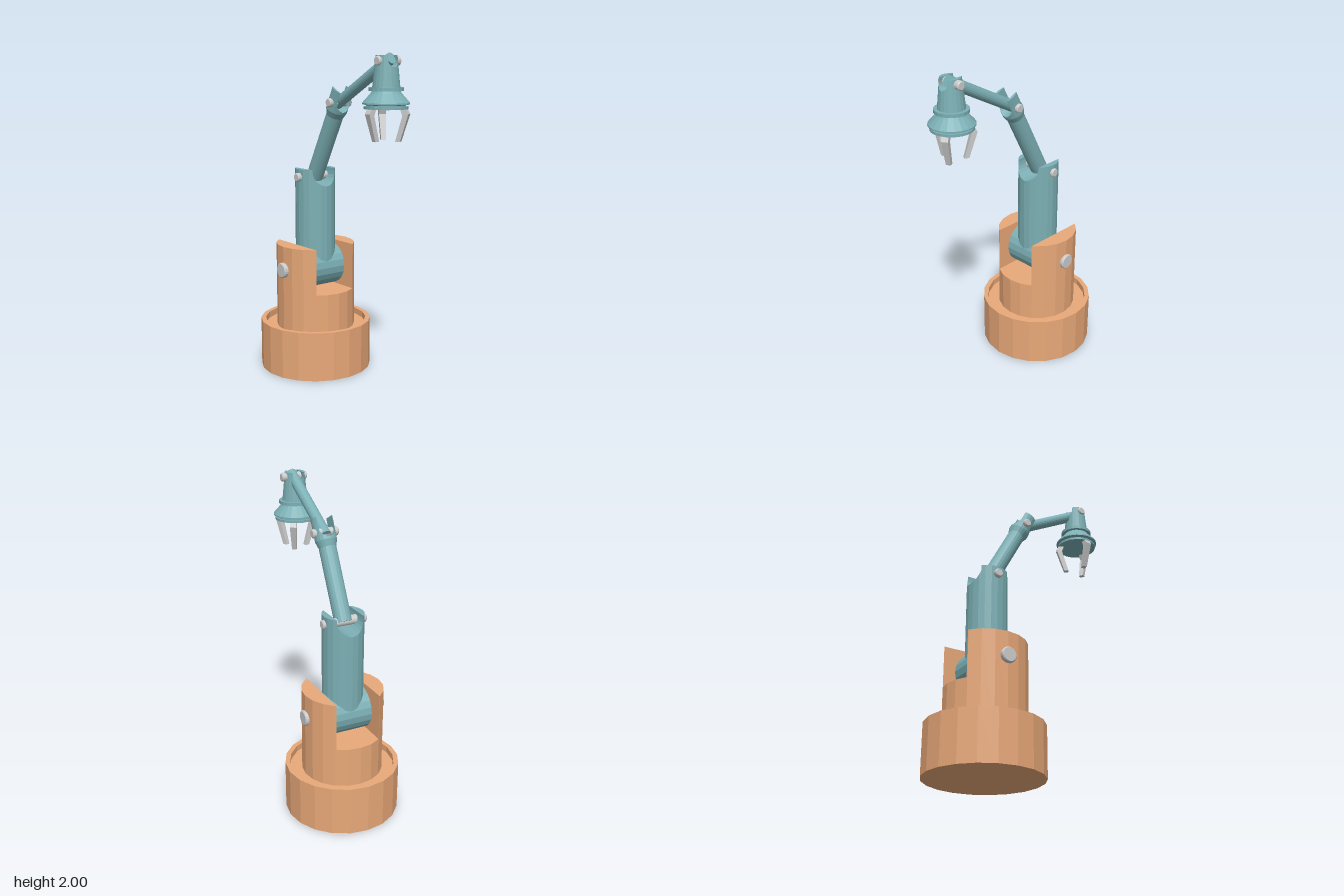
import * as THREE from 'three';

const paint = (color) => new THREE.MeshStandardMaterial({ color, flatShading: true });
const AXIS_Z = -0.235; // centre line of base and column
const SIDES = 20;

// Upright faceted column whose top is cut by a channel running along z.
// cut: [x, y] points of the channel, left to right; taper: scale at the top.
function notchedColumn(r, y0, y1, cut, taper = 1) {
  const half = SIDES / 2;
  const ring = Array.from({ length: half + 1 }, (_, k) => {
    const a = (k / half) * Math.PI;
    return [-r * Math.cos(a), r * Math.sin(a)];
  });
  const lerp = (list, x) => {
    for (let i = 1; i < list.length; i++) {
      const [a, b] = [list[i - 1], list[i]];
      if (x <= b[0]) return a[1] + ((b[1] - a[1]) * (x - a[0])) / (b[0] - a[0]);
    }
    return 0;
  };
  const line = [[-r, y1], [cut[0][0], y1], ...cut, [cut[cut.length - 1][0], y1], [r, y1]];
  const stations = [line[0]];
  for (let i = 1; i < line.length; i++) {
    const [a, b] = [line[i - 1], line[i]];
    for (const [x] of ring) {
      if (x > a[0] + 1e-5 && x < b[0] - 1e-5) stations.push([x, lerp([a, b], x)]);
    }
    stations.push(b);
  }
  const sections = stations.map(([x, h]) => {
    const w = Math.max(0, lerp(ring, x));
    return [[x, y0, w], [x, y0, -w], [x, h, -w], [x, h, w]].map(([px, py, pz]) => {
      const s = 1 + ((taper - 1) * (py - y0)) / (y1 - y0);
      return [px * s, py, pz * s];
    });
  });
  const pos = [];
  for (let i = 1; i < sections.length; i++) {
    for (let j = 0; j < 4; j++) {
      const k = (j + 1) % 4;
      const [a, b, c, d] = [sections[i - 1][j], sections[i - 1][k], sections[i][k], sections[i][j]];
      pos.push(...a, ...b, ...c, ...a, ...c, ...d);
    }
  }
  const geo = new THREE.BufferGeometry();
  geo.setAttribute('position', new THREE.Float32BufferAttribute(pos, 3));
  geo.computeVertexNormals();
  return geo;
}

// Half-round channel profile
const roundCut = (c, yc) => Array.from({ length: 13 }, (_, i) => {
  const a = Math.PI * (1 + i / 12);
  return [c * Math.cos(a), yc + c * Math.sin(a)];
});

const lathe = (pts) => new THREE.LatheGeometry(pts.map(([x, y]) => new THREE.Vector2(x, y)), SIDES);

export function createModel() {
  const model = new THREE.Group();
  model.name = 'roboticArm';
  const orange = paint(0xe8a878);
  const teal = paint(0x7cb0b5);
  const grey = paint(0xcccccc);

  const add = (name, geo, mat, parent = model, x = 0, y = 0, z = 0) => {
    const mesh = new THREE.Mesh(geo, mat);
    mesh.name = name;
    mesh.position.set(x, y, z);
    parent.add(mesh);
    return mesh;
  };

  // Hinge pin along x with chamfered ends
  const pin = (name, r, x0, x1, y, z) => {
    const h = (x1 - x0) / 2, e = 0.006;
    const geo = lathe([[0, -h], [r - e, -h], [r, e - h], [r, h - e], [r - e, h], [0, h]]);
    add(name, geo, grey, model, (x0 + x1) / 2, y, z).rotation.z = Math.PI / 2;
  };

  // Base drum with a raised rim
  add('base', lathe([[0, 0], [0.355, 0], [0.355, 0.31], [0.325, 0.31], [0.325, 0.27], [0, 0.27]]),
    orange, model, 0, 0, AXIS_Z);

  // Turret with a square slot
  add('turret', notchedColumn(0.25, 0.26, 0.81, [[-0.143, 0.52], [0.143, 0.52]]),
    orange, model, 0, 0, AXIS_Z);
  pin('shoulderPin', 0.048, -0.27, 0.265, 0.66, AXIS_Z);

  // Lower arm: barrel and forked column
  const barrel = new THREE.CylinderGeometry(0.133, 0.133, 0.266, SIDES);
  add('shoulderBarrel', barrel, teal, model, 0, 0.66, AXIS_Z).rotation.z = Math.PI / 2;
  add('lowerArm', notchedColumn(0.126, 0.66, 1.29, roundCut(0.085, 1.27)), teal, model, 0, 0, AXIS_Z);
  pin('lowerElbowPin', 0.028, -0.147, 0.14, 1.24, AXIS_Z);

  // Tilted limb: a group whose y axis runs from one joint to the next
  const limb = (name, y0, z0, y1, z1) => {
    const group = new THREE.Group();
    group.name = name;
    group.position.set(0, y0, z0);
    group.rotation.x = Math.atan2(z1 - z0, y1 - y0);
    model.add(group);
    return [group, Math.hypot(y1 - y0, z1 - z0)];
  };

  // Middle arm with a flared fork
  const [middle, midLen] = limb('middleArm', 1.24, AXIS_Z, 1.71, 0.013);
  add('middleArmShaft', lathe([[0, -0.005], [0.053, -0.005], [0.053, midLen - 0.09],
    [0.066, midLen - 0.05], [0, midLen - 0.05]]), teal, middle);
  add('middleArmFork', notchedColumn(0.066, -0.05, 0.087, roundCut(0.05, 0.015)),
    teal, middle, 0, midLen, 0);
  pin('upperElbowPin', 0.027, -0.085, 0.082, 1.71, 0.013);

  // Upper arm
  const [upper, upLen] = limb('upperArm', 1.71, 0.013, 1.955, 0.455);
  add('upperArmShaft', new THREE.CylinderGeometry(0.034, 0.034, upLen + 0.055, SIDES),
    teal, upper, 0, upLen / 2 + 0.0025, 0);
  pin('wristPin', 0.027, -0.085, 0.08, 1.955, 0.455);

  // Gripper head
  const gripper = new THREE.Group();
  gripper.name = 'gripper';
  gripper.position.set(-0.01, 0, 0.453);
  model.add(gripper);
  add('wrist', notchedColumn(0.08, 1.8, 1.985, roundCut(0.045, 1.965), 0.76), teal, gripper);
  add('gripperHead', lathe([[0, 1.69], [0.125, 1.69], [0.125, 1.705], [0.112, 1.705], [0.112, 1.712],
    [0.135, 1.717], [0.135, 1.725], [0.09, 1.775], [0.08, 1.79], [0.1, 1.79], [0.1, 1.81],
    [0, 1.81]]), teal, gripper);

  // Three bent fingers
  const outline = [[0.085, 1.7], [0.102, 1.655], [0.06, 1.51], [0.088, 1.51], [0.137, 1.665], [0.118, 1.7]];
  const fingerGeo = new THREE.ExtrudeGeometry(
    new THREE.Shape(outline.map(([x, y]) => new THREE.Vector2(x, y))),
    { depth: 0.04, bevelEnabled: false });
  fingerGeo.translate(0, 0, -0.02);
  // narrow towards the tips
  const p = fingerGeo.attributes.position;
  for (let i = 0; i < p.count; i++) {
    if (p.getY(i) < 1.6) p.setZ(i, p.getZ(i) * 0.7);
  }
  fingerGeo.computeVertexNormals();
  for (let i = 0; i < 3; i++) {
    add('finger', fingerGeo, grey, gripper).rotation.y = Math.PI + (i * Math.PI * 2) / 3;
  }
  return model;
}
